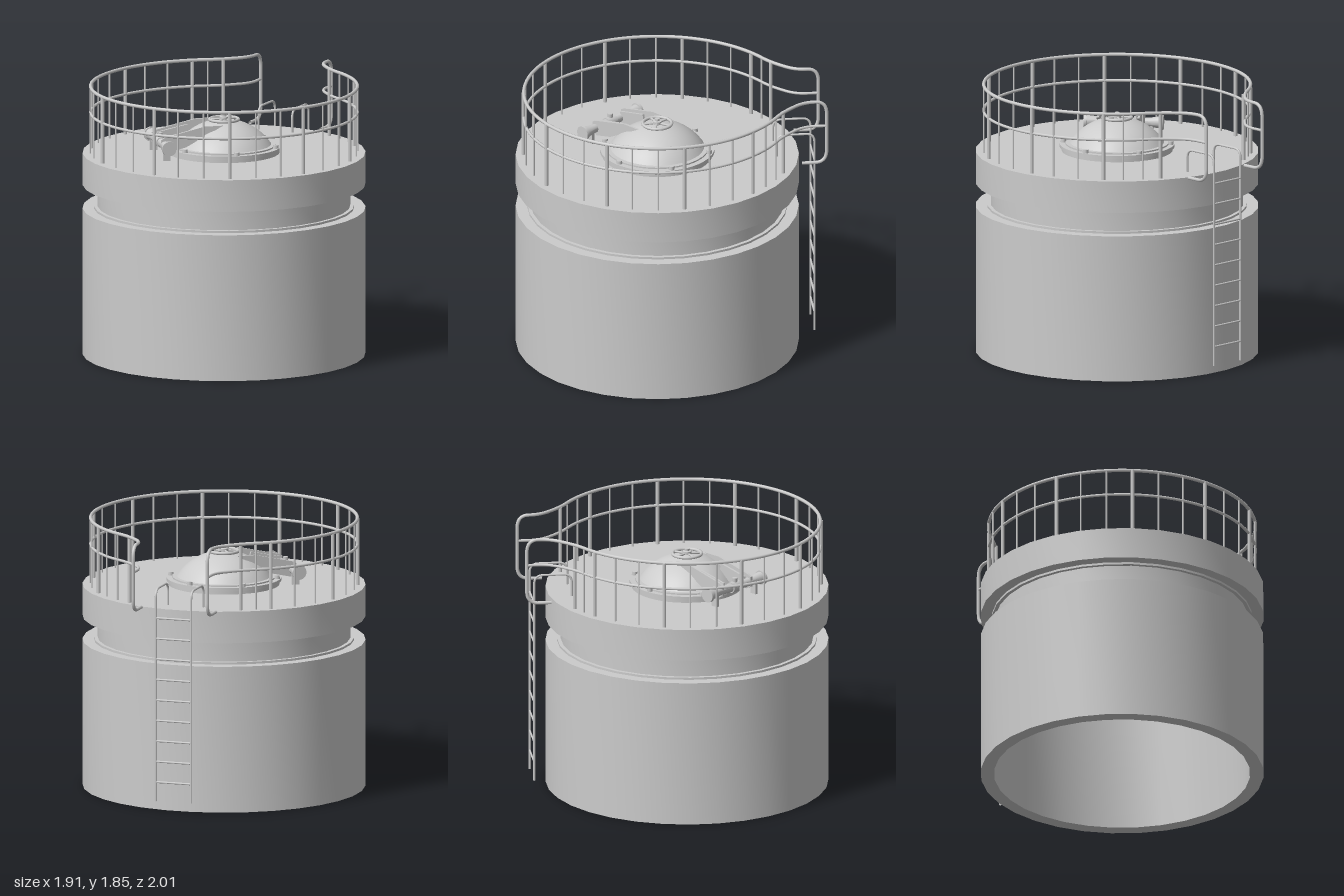
import * as THREE from 'three';
import { toCreasedNormals } from 'three/addons/utils/BufferGeometryUtils.js';

const GREY = new THREE.MeshStandardMaterial({ color: 0xcccccc, side: THREE.DoubleSide });
const V = (x, y, z) => new THREE.Vector3(x, y, z);
const DEG = Math.PI / 180;

function add(parent, name, geometry, x = 0, y = 0, z = 0) {
  const mesh = new THREE.Mesh(geometry, GREY);
  mesh.name = name;
  mesh.position.set(x, y, z);
  parent.add(mesh);
  return mesh;
}

// Turned part with sharp edges where the profile turns
function turned(profile, segments) {
  const points = profile.map(([r, y]) => new THREE.Vector2(r, y));
  return toCreasedNormals(new THREE.LatheGeometry(points, segments), 0.5);
}

// Straight round bar between two points
function bar(parent, name, a, b, r, sides = 8) {
  const mesh = add(parent, name, new THREE.CylinderGeometry(r, r, a.distanceTo(b), sides));
  mesh.position.copy(a).add(b).multiplyScalar(0.5);
  mesh.quaternion.setFromUnitVectors(V(0, 1, 0), b.clone().sub(a).normalize());
  return mesh;
}

// Bent pipe through points, each corner rounded off
function pipe(points, r, bend, segments) {
  const path = new THREE.CurvePath();
  let from = points[0];
  for (let i = 1; i < points.length - 1; i++) {
    const p = points[i];
    const towards = (q) => {
      const d = p.distanceTo(q);
      return p.clone().lerp(q, Math.min(bend, d * 0.48) / d);
    };
    const start = towards(points[i - 1]), end = towards(points[i + 1]);
    path.add(new THREE.LineCurve3(from, start));
    path.add(new THREE.QuadraticBezierCurve3(start, p, end));
    from = end;
  }
  path.add(new THREE.LineCurve3(from, points[points.length - 1]));
  return new THREE.TubeGeometry(path, segments, r, 8, false);
}

const DECK = 1.385, TOP = 1.84, MID = 1.66, RAIL_R = 0.905;

function buildRailing() {
  const railing = new THREE.Group();
  railing.name = 'railing';
  const at = (deg, y) => V(RAIL_R * Math.sin(deg * DEG), y, RAIL_R * Math.cos(deg * DEG));

  // Rail path at one height: flared end, round the deck, flared end
  const run = (y) => {
    const pts = [V(0.265, y, 1.123), V(0.265, y, 0.965)];
    for (let i = 0; i <= 28; i++) pts.push(at(27 + (306 * i) / 28, y));
    pts.push(V(-0.265, y, 0.965), V(-0.265, y, 1.123));
    return pts;
  };
  // The top rail curls down at both ends into gate hoops
  const hoop = (s) => [V(s * 0.265, DECK + 0.005, 0.955), V(s * 0.265, DECK + 0.005, 1.123)];
  add(railing, 'topRail', pipe([...hoop(1), ...run(TOP), ...hoop(-1).reverse()], 0.012, 0.09, 560));
  add(railing, 'midRail', pipe(run(MID), 0.01, 0.09, 360));

  // Every third post is heavy, with extra posts beside the gate
  const post = (deg, heavy) =>
    bar(railing, heavy ? 'heavyPost' : 'post', at(deg, DECK), at(deg, TOP), heavy ? 0.013 : 0.006);
  for (let k = 0; k <= 24; k++) post(-50.625 - 11.25 * k, k % 3 === 0);
  post(-26, true);
  post(26, true);
  [-42.2, -33.8, 32.7].forEach((deg) => post(deg, false));
  return railing;
}

function buildLadder() {
  const ladder = new THREE.Group();
  ladder.name = 'ladder';
  const w = 0.126, d = 1.055;
  for (const s of [1, -1]) {
    const x = s * w;
    add(ladder, 'ladderRail',
      pipe([V(x, 0.08, d), V(x, 1.54, d), V(x, 1.54, 0.8), V(x, DECK, 0.8)], 0.008, 0.06, 160));
  }
  for (let i = 0; i < 9; i++) {
    const y = 0.212 + i * 0.1413;
    bar(ladder, 'rung', V(-w, y, d), V(w, y, d), 0.007);
  }
  return ladder;
}

function buildHatch() {
  const hatch = new THREE.Group();
  hatch.name = 'hatch';

  // Seat and clamped flange
  add(hatch, 'hatchFlange', turned([[0.375, DECK], [0.375, 1.41], [0.388, 1.41], [0.388, 1.432],
    [0.35, 1.432], [0.35, 1.442], [0.315, 1.442]], 48));

  // Shallow dome
  const R = 0.386, cy = 1.61 - R, dome = [];
  for (let i = 0; i <= 12; i++) {
    const a = Math.asin(0.32 / R) * (1 - i / 12);
    dome.push(new THREE.Vector2(R * Math.sin(a), cy + R * Math.cos(a)));
  }
  add(hatch, 'hatchDome', new THREE.LatheGeometry(dome, 48));

  // Flange bolts
  for (let i = 0; i < 6; i++) {
    const a = i * 60 * DEG;
    add(hatch, 'flangeBolt', new THREE.CylinderGeometry(0.018, 0.02, 0.03, 8),
      0.364 * Math.sin(a), 1.44, 0.364 * Math.cos(a));
  }

  // Handwheel
  add(hatch, 'wheelRim', new THREE.TorusGeometry(0.098, 0.011, 8, 32), 0, 1.612, 0).rotation.x = Math.PI / 2;
  add(hatch, 'wheelHub', turned([[0.03, 1.59], [0.03, 1.63], [0.016, 1.633], [0.016, 1.647], [0, 1.647]], 16));
  for (let i = 0; i < 5; i++) {
    const a = (i * 72 + 36) * DEG;
    bar(hatch, 'wheelSpoke', V(0, 1.615, 0), V(0.098 * Math.sin(a), 1.612, 0.098 * Math.cos(a)), 0.008);
  }

  // Hinge barrel with flared ends
  const hx = -0.444, hy = 1.48;
  const barrel = turned([[0, -0.27], [0.05, -0.27], [0.05, -0.25], [0.042, -0.25], [0.03, -0.17], [0.03, 0.17],
    [0.042, 0.25], [0.05, 0.25], [0.05, 0.27], [0, 0.27]], 20);
  add(hatch, 'hingeBarrel', barrel, hx, hy, 0).rotation.x = Math.PI / 2;
  const collar = new THREE.CylinderGeometry(0.037, 0.037, 0.08, 16);
  add(hatch, 'hingeCollar', collar, hx, hy, 0).rotation.x = Math.PI / 2;
  add(hatch, 'hingeStud', new THREE.CylinderGeometry(0.018, 0.018, 0.03, 8), hx, hy + 0.045, 0);

  // Lifting arms: a long and a short plate on each side
  const plate = (points, z) => {
    const shape = new THREE.Shape(points.map(([x, y]) => new THREE.Vector2(x, y)));
    const geo = new THREE.ExtrudeGeometry(shape, { depth: 0.016, bevelEnabled: false });
    add(hatch, 'hingeArm', geo, 0, 0, z - 0.008);
  };
  for (const s of [1, -1]) {
    plate([[-0.47, 1.45], [-0.43, 1.43], [-0.3, 1.46], [-0.15, 1.54], [-0.04, 1.598],
      [-0.17, 1.597], [-0.44, 1.535], [-0.47, 1.52]], s * 0.138);
    plate([[-0.46, 1.45], [-0.4, 1.44], [-0.3, 1.46], [-0.22, 1.53], [-0.23, 1.57], [-0.44, 1.525]], s * 0.1);
    add(hatch, 'hingeBracket', new THREE.BoxGeometry(0.05, 0.1, 0.02), hx, DECK + 0.05, s * 0.19);
  }
  return hatch;
}

export function createModel() {
  const model = new THREE.Group();
  model.name = 'tankTower';
  const tower = new THREE.Group();
  tower.name = 'tower';
  tower.position.z = 0.038;
  model.add(tower);

  // Hollow drum, recessed neck with flanges, and deck ring
  add(tower, 'drum', turned([[0, 0.96], [0.866, 0.96], [0.866, 0], [0.957, 0], [0.957, 1.005], [0.88, 1.005],
    [0.88, 1.02], [0.855, 1.02], [0.855, 1.152], [0.88, 1.152], [0.88, 1.167], [0.957, 1.167],
    [0.957, DECK], [0, DECK]], 32));

  // Railing and ladder share the gate direction at the back left
  const access = new THREE.Group();
  access.name = 'access';
  access.rotation.y = 140.625 * DEG;
  access.add(buildRailing(), buildLadder());
  tower.add(access, buildHatch());
  return model;
}
